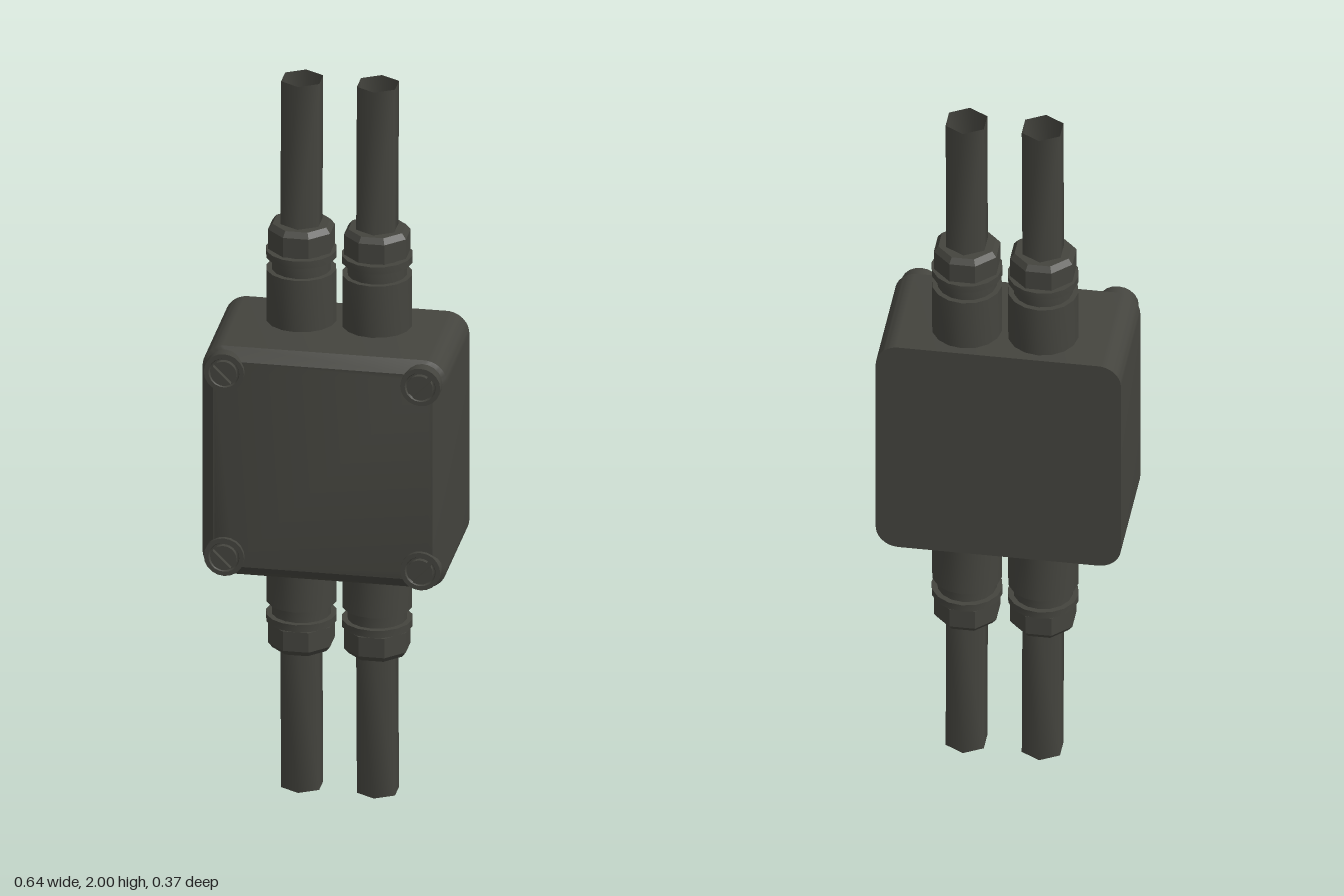
import * as THREE from 'three';
import { toCreasedNormals } from 'three/addons/utils/BufferGeometryUtils.js';

const darkPlastic = new THREE.MeshStandardMaterial({ color: 0x44443e });
darkPlastic.name = 'darkPlastic';
const darkCable = darkPlastic.clone(); // same colour, visible inside the open ends
darkCable.name = 'darkCable';
darkCable.side = THREE.DoubleSide;

const HALF = 0.322, MID_Y = 1.003;

function part(name, geometry, parent, material = darkPlastic, crease = 0.6) {
  const mesh = new THREE.Mesh(toCreasedNormals(geometry, crease), material);
  mesh.name = name;
  parent.add(mesh);
  return mesh;
}

function roundedSquare(h, r) {
  const s = new THREE.Shape();
  s.moveTo(h, -h + r);
  s.absarc(h - r, h - r, r, 0, Math.PI / 2);
  s.absarc(-h + r, h - r, r, Math.PI / 2, Math.PI);
  s.absarc(-h + r, -h + r, r, Math.PI, Math.PI * 1.5);
  s.absarc(h - r, -h + r, r, Math.PI * 1.5, Math.PI * 2);
  return s;
}

function lathe(points, sides) {
  return new THREE.LatheGeometry(points.map(([r, y]) => new THREE.Vector2(r, y)), sides);
}

// Screw with a raised rim, a recess and a slotted head, facing +z
function createScrew(angle) {
  const screw = new THREE.Group();
  screw.name = 'screw';
  const rim = lathe([[0.053, 0.13], [0.053, 0.178], [0.041, 0.178], [0.038, 0.171], [0, 0.171]], 20);
  part('screwRim', rim.rotateX(Math.PI / 2), screw);
  for (const turn of [0, Math.PI]) {
    const half = new THREE.Shape();
    half.absarc(0, 0, 0.034, 0.2, Math.PI - 0.2);
    half.closePath();
    const geo = new THREE.ExtrudeGeometry(half, { depth: 0.014, bevelEnabled: false, curveSegments: 8 });
    part('slottedHead', geo.translate(0, 0, 0.17).rotateZ(turn + angle), screw);
  }
  return screw;
}

// Cable gland with its cable, pointing up from the box wall
function createGland() {
  const gland = new THREE.Group();
  gland.name = 'cableGland';
  part('glandBody', lathe([
    [0.092, 1.3], [0.092, 1.47], [0.078, 1.47], [0.078, 1.505],
    [0.093, 1.505], [0.093, 1.525], [0.075, 1.525], [0.075, 1.54],
  ], 16), gland);
  // Octagonal nut with a chamfered end
  const R = 0.082 / Math.cos(Math.PI / 8);
  const nut = lathe([[0, 1.53], [R, 1.53], [R, 1.585], [R - 0.012, 1.6], [0, 1.6]], 8);
  part('glandNut', nut.rotateY(Math.PI / 8), gland, darkPlastic, 0.3);
  // Hexagonal open cable that leans slightly backwards
  const cable = new THREE.CylinderGeometry(0.058, 0.058, 0.41, 6, 1, true);
  cable.translate(0, 1.795, 0);
  const p = cable.attributes.position;
  for (let i = 0; i < p.count; i++) {
    p.setZ(i, p.getZ(i) - 0.011 * (p.getY(i) - 1.59) / 0.41);
  }
  part('cable', cable, gland, darkCable, 1.2);
  return gland;
}

export function createModel() {
  const model = new THREE.Group();
  model.name = 'junctionBox';

  // Box with rounded corners
  const outline = roundedSquare(HALF, 0.06);
  const box = new THREE.ExtrudeGeometry(outline, { depth: 0.325, bevelEnabled: false, curveSegments: 6 });
  part('boxBody', box.translate(0, MID_Y, -0.185), model);

  // Lid tapering towards the front
  const lid = new THREE.ExtrudeGeometry(outline, { depth: 0.027, bevelEnabled: false, curveSegments: 6 });
  const p = lid.attributes.position, k = (HALF - 0.032) / HALF;
  for (let i = 0; i < p.count; i++) {
    if (p.getZ(i) > 0.01) p.setXY(i, p.getX(i) * k, p.getY(i) * k);
  }
  lid.computeVertexNormals();
  part('lid', lid.translate(0, MID_Y, 0.14), model);

  // Corner screws
  for (const sx of [-1, 1]) for (const sy of [-1, 1]) {
    const screw = createScrew(sx * Math.PI / 4);
    screw.position.set(sx * 0.259, MID_Y + sy * 0.261, 0);
    model.add(screw);
  }

  // Two glands on top and two below
  for (const x of [-0.1, 0.1]) for (const below of [false, true]) {
    const gland = createGland();
    if (below) {
      // Mirror top to bottom, keeping the backward lean
      gland.scale.y = -1;
      gland.position.y = 2;
    }
    gland.position.x = x;
    gland.position.z = -0.07;
    model.add(gland);
  }
  return model;
}
